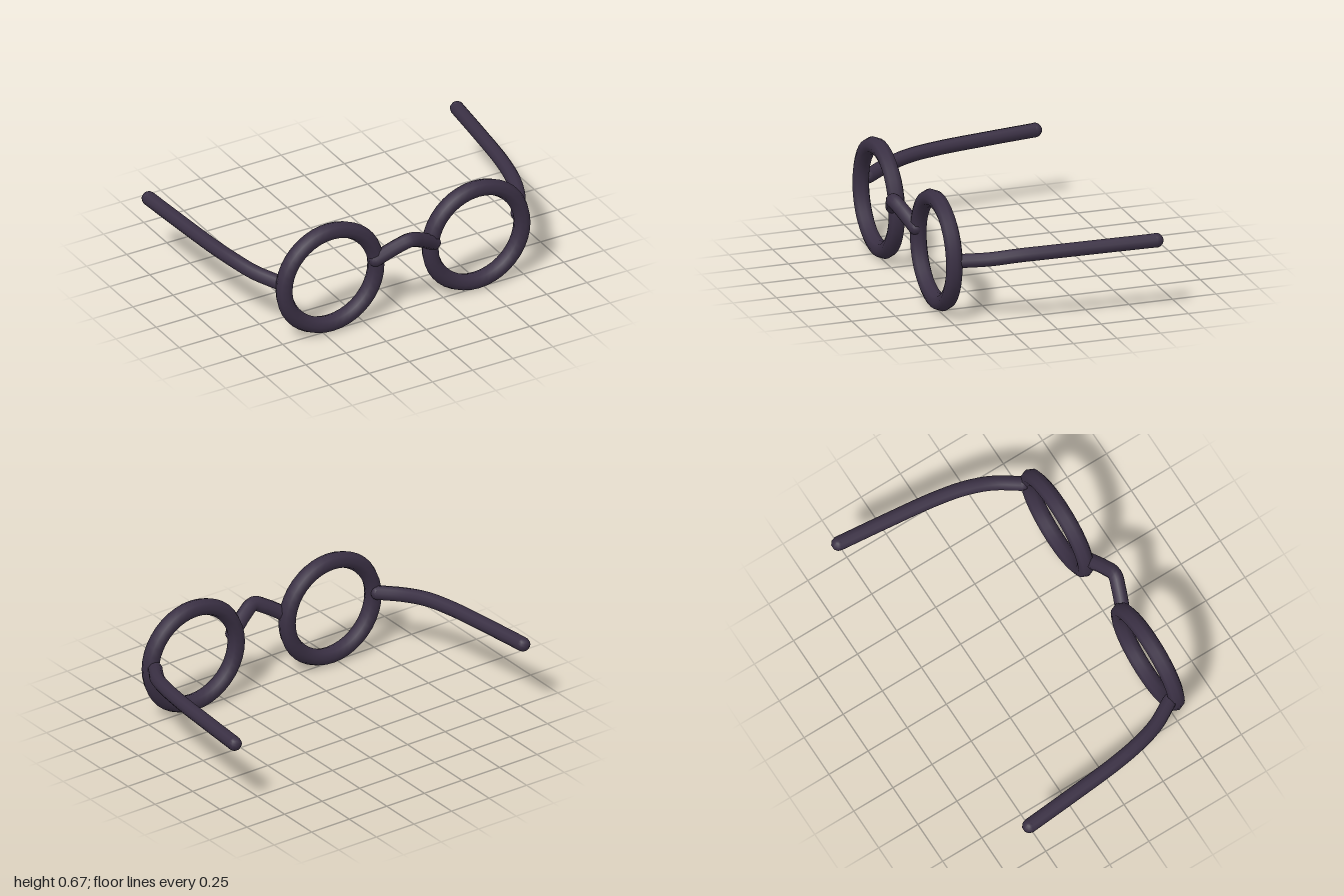
import * as THREE from 'three';

const frameMaterial = new THREE.MeshStandardMaterial({ color: 0x3a3044 });
frameMaterial.name = 'dark plum frame';

// Round bar through the given points, with domed ends
function roundedBar(name, points, radius) {
  const group = new THREE.Group();
  group.name = name;
  const path = new THREE.CatmullRomCurve3(points.map((p) => new THREE.Vector3(...p)));
  const bar = new THREE.Mesh(new THREE.TubeGeometry(path, 28, radius, 10), frameMaterial);
  bar.name = name + 'Bar';
  group.add(bar);
  for (const t of [0, 1]) {
    const cap = new THREE.Mesh(new THREE.SphereGeometry(radius, 10, 8), frameMaterial);
    cap.name = name + (t ? 'EndCap' : 'StartCap');
    cap.position.copy(path.getPoint(t));
    group.add(cap);
  }
  return group;
}

export function createModel() {
  const model = new THREE.Group();
  model.name = 'roundGlasses';

  for (const [side, s] of [['left', 1], ['right', -1]]) {
    // Round rim
    const rim = new THREE.Mesh(new THREE.TorusGeometry(0.286, 0.0475, 8, 40), frameMaterial);
    rim.name = side + 'Rim';
    rim.position.set(s * 0.455, 0.335, 0.498);
    model.add(rim);

    // Temple arm sweeping outward and back
    model.add(roundedBar(side + 'Temple', [
      [s * 0.74, 0.36, 0.455],
      [s * 0.82, 0.38, 0.32],
      [s * 0.868, 0.4, 0.18],
      [s * 0.902, 0.411, 0],
      [s * 0.933, 0.42, -0.29],
      [s * 0.96, 0.427, -0.58],
    ], 0.04));
  }

  // Arched nose bridge
  model.add(roundedBar('bridge', [
    [-0.18, 0.374, 0.515],
    [-0.07, 0.444, 0.556],
    [0, 0.473, 0.575],
    [0.07, 0.444, 0.556],
    [0.18, 0.374, 0.515],
  ], 0.041));

  return model;
}
